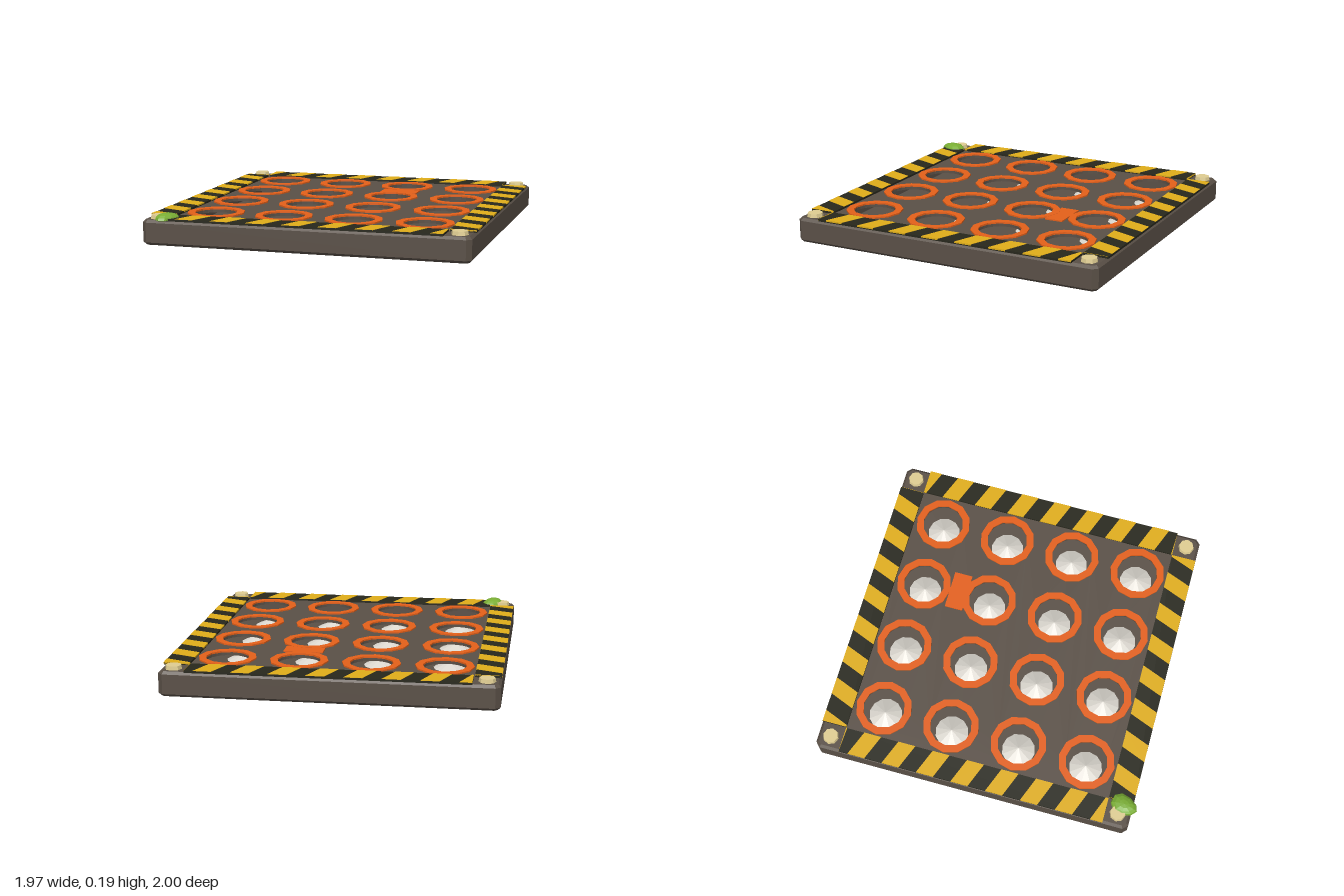
import * as THREE from 'three';

const mat = (name, color) => Object.assign(new THREE.MeshStandardMaterial({ color, flatShading: true }), { name });
const M = {
  iron: mat('dark iron', 0x5a5047),
  black: mat('stripe black', 0x27271c),
  yellow: mat('stripe yellow', 0xe0ae1a),
  orange: mat('orange paint', 0xe4601a),
  steel: mat('spike steel', 0xdad6ce),
  brass: mat('bolt brass', 0xdfcd92),
  green: mat('slime green', 0x7aae34),
};
const CZ = -0.015;       // plate centre in z
const HALF = 0.985;      // plate half size
const DECK = 0.15;       // plate top
const GRID = [-0.645, -0.215, 0.215, 0.645];

function add(parent, name, geo, material, x = 0, y = 0, z = 0) {
  const m = new THREE.Mesh(geo, material);
  m.name = name;
  m.position.set(x, y, z);
  parent.add(m);
  return m;
}

// Extrudes a flat outline given in (x, z) upwards from y = 0
function slab(points, height, holes = [], bevel = 0) {
  const outline = points.map(([x, z]) => new THREE.Vector2(x, -z));
  if (THREE.ShapeUtils.isClockWise(outline)) outline.reverse();
  const shape = new THREE.Shape(outline);
  shape.holes.push(...holes);
  const geo = new THREE.ExtrudeGeometry(shape, {
    depth: height - 2 * bevel, bevelEnabled: bevel > 0, bevelSize: bevel,
    bevelThickness: bevel, bevelSegments: 1, curveSegments: 12,
  });
  return geo.rotateX(-Math.PI / 2).translate(0, bevel, 0);
}

const square = (h) => [[-h, -h], [h, -h], [h, h], [-h, h]];

// Black band with slanted yellow stripes
function hazardBand(parent, name, cx, cz, length, alongX, phase, overhang) {
  const band = new THREE.Group();
  band.name = name;
  band.position.set(cx, DECK - 0.001, cz);
  const w = 0.0765, L = length / 2, period = 0.218, half = 0.054, lean = 0.03;
  const size = alongX ? [length, 0.013, 2 * w] : [2 * w, 0.013, length];
  add(band, 'bandBase', new THREE.BoxGeometry(...size), M.black, 0, 0.0065, 0);
  const clamp = (u) => THREE.MathUtils.clamp(u, -L, L);
  const v = w + overhang;
  const s = alongX ? -lean : lean;
  for (let i = -5; i <= 5; i++) {
    const c = phase + i * period;
    if (c - half - lean >= L || c + half + lean <= -L) continue;
    const pts = [[c - half - s, -v], [c + half - s, -v], [c + half + s, v], [c - half + s, v]]
      .map(([a, b]) => (alongX ? [clamp(a), b] : [b, clamp(a)]));
    const thick = alongX ? 0.002 : 0.009;
    add(band, 'stripe', slab(pts, thick), M.yellow, 0, 0.015 - thick, 0);
  }
  parent.add(band);
}

export function createModel() {
  const model = new THREE.Group();
  model.name = 'spikeTrapPlate';

  // Hollow chamfered frame with a floor
  const b = 0.016, e = HALF - b, k = e - 0.02;
  const outline = [[-k, -e], [k, -e], [e, -k], [e, k], [k, e], [-k, e], [-e, k], [-e, -k]];
  const cavity = new THREE.Path(square(0.93).map(([x, z]) => new THREE.Vector2(x, z)));
  add(model, 'frame', slab(outline, DECK, [cavity], b), M.iron, 0, 0, CZ);
  add(model, 'floor', new THREE.BoxGeometry(1.86, 0.02, 1.86), M.iron, 0, 0.01, CZ);

  // Deck with a 4 x 4 grid of holes
  const holes = [];
  for (const x of GRID) for (const z of GRID) {
    holes.push(new THREE.Path().absarc(x, -z, 0.131, 0, Math.PI * 2, true));
  }
  add(model, 'deck', slab(square(0.93), 0.02, holes), M.iron, 0, DECK - 0.02, CZ);

  // Orange rim and retracted spike for every hole
  const rim = new THREE.LatheGeometry(
    [[0.129, 0], [0.174, 0], [0.174, 0.01], [0.129, 0.01], [0.129, 0]].map(([r, y]) => new THREE.Vector2(r, y)), 12);
  const spike = new THREE.ConeGeometry(0.106, 0.046, 12, 1, true);
  for (const x of GRID) for (const z of GRID) {
    add(model, 'holeRim', rim, M.orange, x, DECK - 0.001, z + CZ);
    add(model, 'spike', spike, M.steel, x, 0.042, z + CZ);
  }

  // Painted patch between two rims
  add(model, 'orangePatch', new THREE.BoxGeometry(0.24, 0.009, 0.114), M.orange, 0.223, DECK + 0.0035, -0.433);

  // Warning bands around the edge
  const off = HALF - 0.0775;
  hazardBand(model, 'backBand', 0, CZ - off, 1.65, true, 0.035, 0);
  hazardBand(model, 'frontBand', 0, CZ + off, 1.65, true, -0.035, 0);
  hazardBand(model, 'leftBand', off, CZ, 1.66, false, 0.035, 0.001);
  hazardBand(model, 'rightBand', -off, CZ, 1.66, false, -0.035, 0.001);

  // Corner bolts
  const boltGeo = new THREE.CylinderGeometry(0.046, 0.05, 0.024, 8);
  for (const sx of [-1, 1]) for (const sz of [-1, 1]) {
    add(model, 'cornerBolt', boltGeo, M.brass, sx * 0.905, DECK + 0.011, CZ + sz * 0.905);
  }

  // Flat-bottomed slime blob hanging over the front corner, narrower towards the front
  const blobGeo = new THREE.SphereGeometry(1, 9, 8);
  const p = blobGeo.attributes.position;
  for (let i = 0; i < p.count; i++) {
    const x = p.getX(i), y = p.getY(i), z = p.getZ(i);
    p.setXYZ(i, x * 0.066 * (1 - 0.25 * z) - 0.01 * z, Math.max(y, -0.1) * 0.036, z * 0.084);
  }
  blobGeo.computeVertexNormals();
  add(model, 'slimeBlob', blobGeo, M.green, -0.846, DECK + 0.004, 0.916);
  return model;
}
